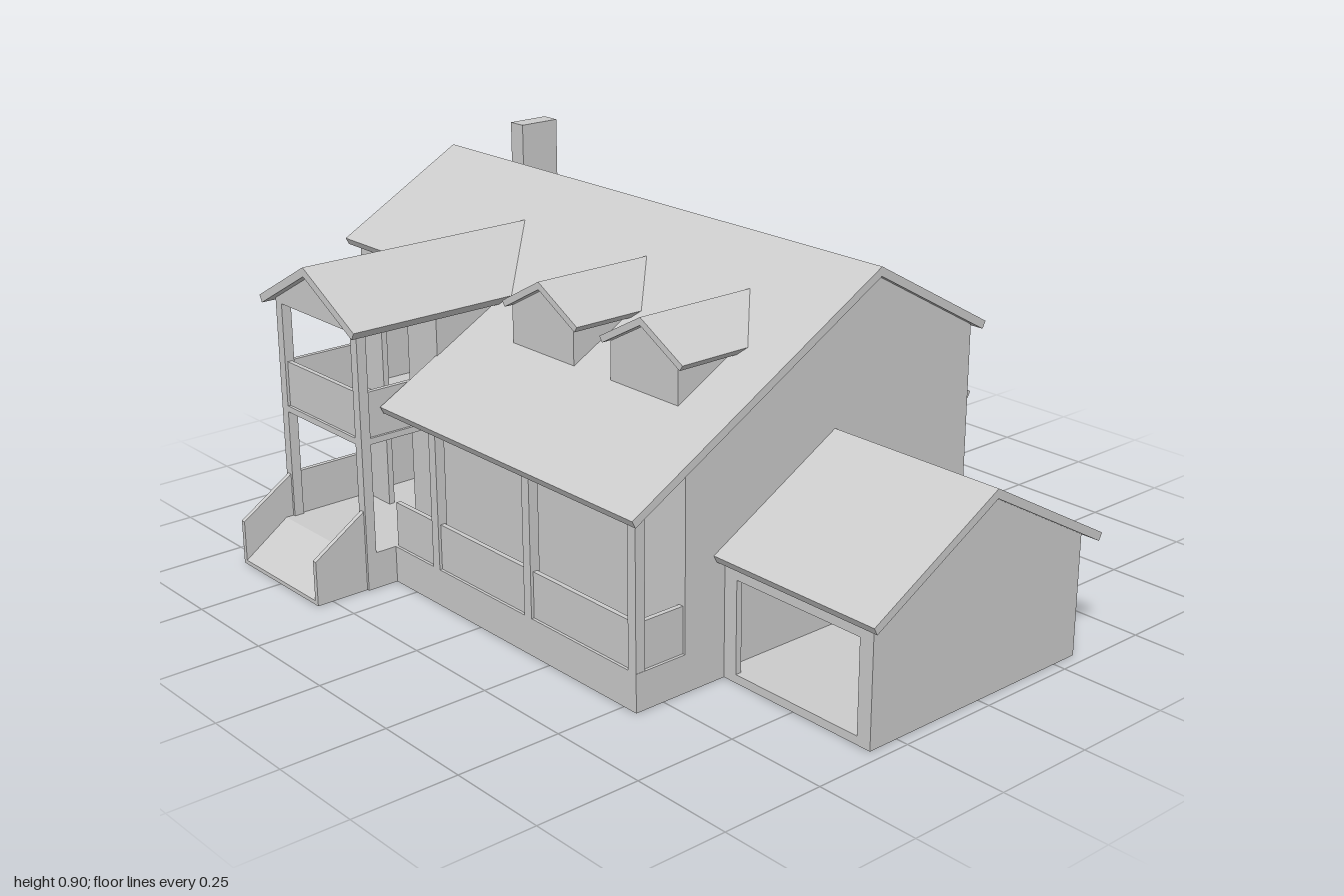
import * as THREE from 'three';

const material = new THREE.MeshStandardMaterial({ color: 0xcccccc, flatShading: true, side: THREE.DoubleSide });

export function createModel() {
  const house = new THREE.Group();
  house.name = 'house';

  const add = (name, geometry) => {
    const mesh = new THREE.Mesh(geometry, material);
    mesh.name = name;
    house.add(mesh);
    return mesh;
  };

  // Box given by its limits on each axis
  const box = (name, x0, x1, y0, y1, z0, z1) => {
    const g = new THREE.BoxGeometry(x1 - x0, y1 - y0, z1 - z0);
    g.translate((x0 + x1) / 2, (y0 + y1) / 2, (z0 + z1) / 2);
    return add(name, g);
  };

  const outline = (pts) => new THREE.Shape(pts.map(([u, v]) => new THREE.Vector2(u, v)));

  // Profile in (z, y) extruded along x
  const prismX = (name, pts, x0, x1) => {
    const g = new THREE.ExtrudeGeometry(outline(pts), { depth: x1 - x0, bevelEnabled: false });
    g.rotateY(-Math.PI / 2);
    g.translate(x1, 0, 0);
    return add(name, g);
  };

  // Profile in (x, y) extruded along z, with optional rectangular holes
  const prismZ = (name, pts, z0, z1, holes = []) => {
    const shape = outline(pts);
    holes.forEach((h) => shape.holes.push(outline(rect(...h))));
    const g = new THREE.ExtrudeGeometry(shape, { depth: z1 - z0, bevelEnabled: false });
    g.translate(0, 0, z0);
    return add(name, g);
  };

  const rect = (x0, x1, y0, y1) => [[x0, y0], [x1, y0], [x1, y1], [x0, y1]];

  // Bent roof slab: top edge through a, ridge, b; eaves cut square to the slope
  const slab = (a, ridge, b, t = 0.022) => {
    const inset = 0.009;
    const drop = t - inset * 0.55;
    return [a, ridge, b, [b[0] - Math.sign(b[0] - ridge[0]) * inset, b[1] - drop],
      [ridge[0], ridge[1] - t], [a[0] - Math.sign(a[0] - ridge[0]) * inset, a[1] - drop]];
  };

  // Main roof height at a given depth
  const ridgeZ = -0.105, ridgeY = 0.837, slope = 0.557;
  const roofY = (z) => ridgeY - Math.abs(z - ridgeZ) * slope;
  const under = (z) => roofY(z) - 0.022;

  // Main body: the right part reaches further forward than the left
  const bodyProfile = (front) => [[-0.428, 0], [front, 0], [front, under(front)], [ridgeZ, under(ridgeZ)], [-0.428, under(-0.428)]];
  prismX('leftBody', bodyProfile(0.22), -0.97, -0.33);
  prismX('rightBody', bodyProfile(0.44), -0.33, 0.54);

  // Main roof, short on the left and running over the porch on the right
  const roofProfile = (front) => slab([-0.455, roofY(-0.455)], [ridgeZ, ridgeY], [front, roofY(front)]);
  prismX('leftRoof', roofProfile(0.245), -1, -0.33);
  prismX('rightRoof', roofProfile(0.6), -0.33, 0.56);

  box('chimney', -0.885, -0.835, 0.64, 0.9, -0.325, -0.212);

  // Entrance tower: hollow room with a door on each floor
  box('towerLeftWall', -0.67, -0.655, 0, 0.64, 0.2, 0.44);
  box('towerRightWall', -0.345, -0.325, 0, 0.64, 0.2, 0.44);
  prismZ('towerFrontWall', rect(-0.67, -0.33, 0, 0.64), 0.425, 0.44,
    [[-0.555, -0.443, 0.09, 0.325], [-0.555, -0.443, 0.376, 0.605]]);
  box('towerFloor', -0.67, -0.33, 0, 0.09, 0.2, 0.655);
  box('balconyFloor', -0.67, -0.33, 0.36, 0.375, 0.2, 0.655);
  prismZ('towerGable', [[-0.67, 0.63], [-0.33, 0.63], [-0.33, 0.641], [-0.5, 0.733], [-0.67, 0.641]], 0.1, 0.655);
  prismZ('towerRoof', slab([-0.7, 0.645], [-0.5, 0.755], [-0.3, 0.645]), 0, 0.68);

  // Tower posts and railing panels on both sides
  for (const s of [-1, 1]) {
    const edge = -0.5 + s * 0.17, inner = -0.5 + s * 0.145;
    const x0 = Math.min(edge, inner), x1 = Math.max(edge, inner);
    const c = (x0 + x1) / 2;
    box('towerPost', x0, x1, 0.09, 0.64, 0.63, 0.655);
    box('balconySideRail', c - 0.006, c + 0.006, 0.375, 0.485, 0.44, 0.63);
    if (s < 0) box('entranceSideRail', c - 0.006, c + 0.006, 0.09, 0.2, 0.44, 0.63);
    // Cheek wall beside the front ramp
    prismX('rampCheek', [[0.79, 0], [0.79, 0.11], [0.655, 0.198], [0.655, 0]], c - 0.006, c + 0.006);
  }
  box('balconyFrontRail', -0.645, -0.355, 0.375, 0.485, 0.636, 0.648);
  prismX('frontRamp', [[0.655, 0], [0.79, 0], [0.79, 0.01], [0.675, 0.09], [0.655, 0.09]], -0.657, -0.343);

  // Side porch with posts and railing panels
  box('porchFloor', -0.33, 0.54, 0, 0.09, 0.44, 0.575);
  for (const x of [-0.165, 0.177, 0.527]) box('porchPost', x - 0.0125, x + 0.0125, 0.09, 0.44, 0.55, 0.575);
  for (const [x0, x1] of [[-0.33, -0.177], [-0.153, 0.165], [0.19, 0.515]]) {
    box('porchFrontRail', x0, x1, 0.09, 0.2, 0.556, 0.568);
  }
  box('porchEndRail', 0.521, 0.533, 0.09, 0.2, 0.44, 0.55);

  // Pair of dormers
  for (const x of [-0.047, 0.3]) {
    prismZ('dormer', [[x - 0.11, 0.587], [x + 0.11, 0.587], [x + 0.11, 0.677], [x, 0.737], [x - 0.11, 0.677]], 0.02, 0.345);
    prismZ('dormerRoof', slab([x - 0.135, 0.684], [x, 0.758], [x + 0.135, 0.684], 0.018), 0, 0.355);
  }

  // Garage: hollow, open at the front
  const gz = 0.006;
  box('garageFloor', 0.535, 0.97, 0, 0.02, -0.316, 0.328);
  prismZ('garageFront', rect(0.535, 0.97, 0, 0.289), 0.313, 0.328, [[0.577, 0.933, 0.02, 0.24]]);
  box('garageBack', 0.535, 0.97, 0, 0.289, -0.316, -0.301);
  prismX('garageGable', [[-0.316, 0], [0.328, 0], [0.328, 0.289], [gz, 0.468], [-0.316, 0.289]], 0.955, 0.97);
  prismX('garageRoof', slab([-0.348, 0.293], [gz, 0.49], [0.36, 0.293]), 0.535, 1);

  // Rear extension: hollow lean-to with a door
  box('rearFloor', -0.115, 0.33, 0, 0.09, -0.64, -0.42);
  const rearSide = [[-0.42, 0], [-0.42, 0.485], [-0.64, 0.361], [-0.64, 0]];
  prismX('rearSideWall', rearSide, -0.115, -0.1);
  prismX('rearSideWall', rearSide, 0.315, 0.33);
  prismZ('rearWall', rect(-0.115, 0.33, 0, 0.361), -0.64, -0.625, [[0.157, 0.27, 0.09, 0.325]]);
  prismX('rearRoof', [[-0.42, 0.505], [-0.67, 0.365], [-0.661, 0.349], [-0.42, 0.484]], -0.135, 0.345);
  prismX('rearRamp', [[-0.64, 0], [-0.64, 0.09], [-0.675, 0.09], [-0.79, 0.01], [-0.79, 0]], 0.14, 0.285);

  return house;
}
